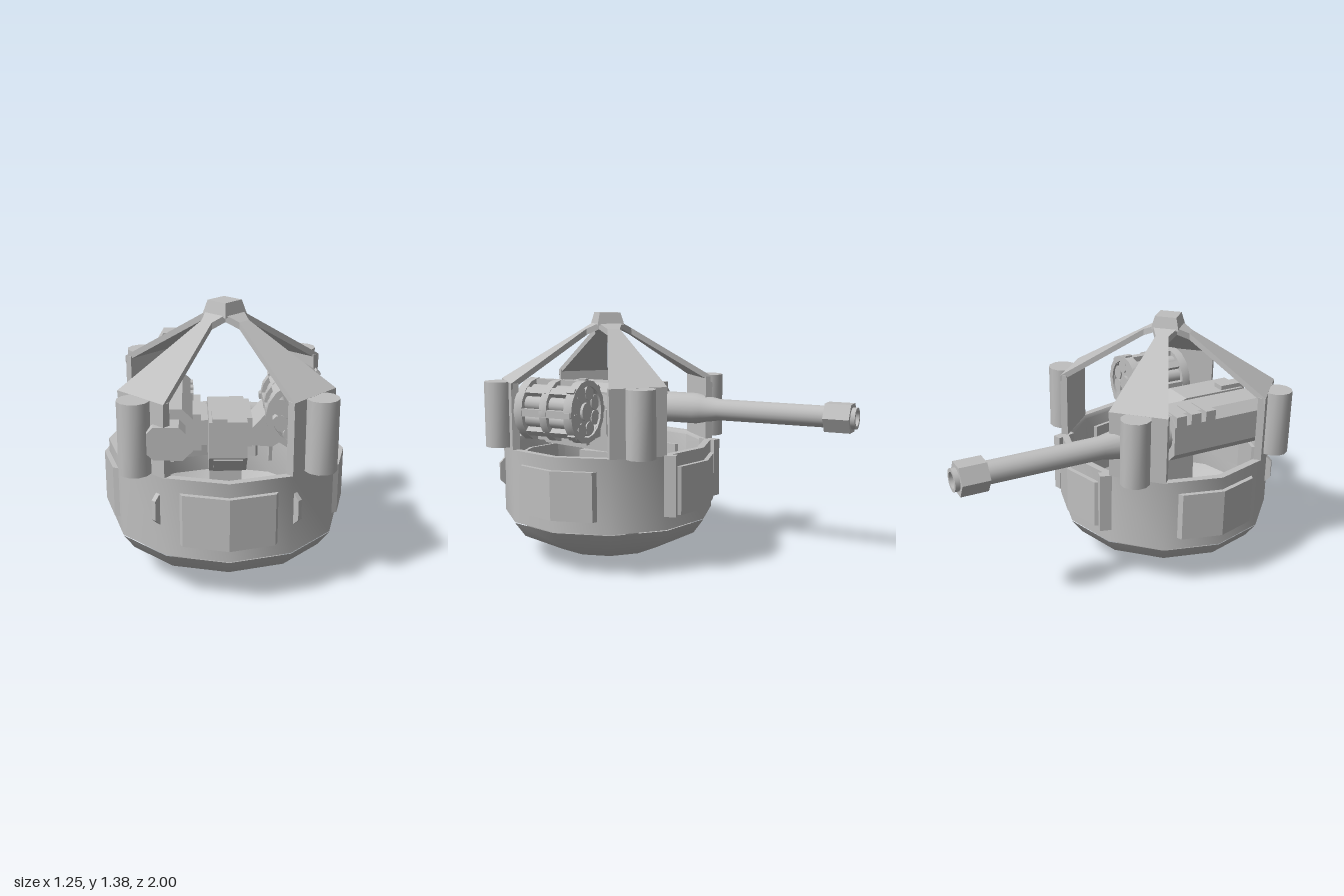
import * as THREE from 'three';
import { toCreasedNormals } from 'three/addons/utils/BufferGeometryUtils.js';

const armour = new THREE.MeshStandardMaterial({ color: 0xbfbfbf });
armour.name = 'armour grey';

const crease = (geo, deg = 35) => toCreasedNormals(geo, THREE.MathUtils.degToRad(deg));
const vec = (p) => new THREE.Vector2(p[0], p[1]);

function add(parent, name, geo, x = 0, y = 0, z = 0) {
  const mesh = new THREE.Mesh(geo, armour);
  mesh.name = name;
  mesh.position.set(x, y, z);
  parent.add(mesh);
  return mesh;
}

const box = (parent, name, size, pos) => add(parent, name, new THREE.BoxGeometry(...size), ...pos);
const lathe = (pts, sides) => new THREE.LatheGeometry(pts.map(vec), sides);
const prism = (pts, depth) => new THREE.ExtrudeGeometry(new THREE.Shape(pts.map(vec)), { depth, bevelEnabled: false });

// rectangle with cut corners, for block ends
function cutRect(w, h, c) {
  const a = w / 2, b = h / 2;
  return [[a - c, -b], [a, -b + c], [a, b - c], [a - c, b], [-a + c, b], [-a, b - c], [-a, -b + c], [-a + c, -b]];
}

// bent plate that wraps one corner of the twelve-sided tub
function wrapPlate(outer, inner, outerHalf, innerHalf, height) {
  const k = Math.tan(Math.PI / 12);
  const pts = [[-outerHalf, outer - k * outerHalf], [-innerHalf, inner - k * innerHalf], [0, inner],
    [innerHalf, inner - k * innerHalf], [outerHalf, outer - k * outerHalf], [0, outer]];
  return prism(pts, height).rotateX(-Math.PI / 2);
}

// roof strut: a box whose three rings follow [radius, height, half width]
function strutGeometry() {
  const rings = [[0.06, 1.325, 0.07], [0.13, 1.29, 0.035], [0.58, 1.01, 0.158]];
  const geo = new THREE.BoxGeometry(1, 1, 1, 1, 1, 2).toNonIndexed();
  const p = geo.attributes.position;
  for (let i = 0; i < p.count; i++) {
    const [r, y, half] = rings[Math.round(p.getZ(i) * 2) + 1];
    p.setXYZ(i, p.getX(i) * 2 * half, y + (p.getY(i) - 0.5) * 0.035, r);
  }
  geo.computeVertexNormals();
  return geo;
}

function buildTub() {
  const tub = new THREE.Group();
  tub.name = 'tub';
  add(tub, 'bowl', crease(lathe([[0, 0], [0.31, 0.045], [0.54, 0.16], [0.6, 0.243]], 12)));
  add(tub, 'wall', crease(lathe([[0.58, 0.245], [0.6, 0.247], [0.6, 0.65], [0.56, 0.65], [0.55, 0.63],
    [0.55, 0.24], [0.5, 0.18], [0.3, 0.08], [0, 0.04]], 12)));
  for (let i = 0; i < 4; i++) {
    const side = new THREE.Group();
    side.name = 'tubSide';
    side.rotation.y = i * Math.PI / 2;
    add(side, 'outerPlate', wrapPlate(0.625, 0.59, 0.22, 0.237, 0.265), 0, 0.315, 0);
    add(side, 'innerPlate', wrapPlate(0.56, 0.53, 0.22, 0.2, 0.22), 0, 0.34, 0);
    tub.add(side);
  }
  for (const s of [-1, 1]) {
    // hand grip on the front diagonal face
    const grip = prism([[0, -0.08], [0.03, -0.05], [0.03, 0.05], [0, 0.08]], 0.025);
    const g = add(tub, 'grip', grip, s * 0.325, 0.478, 0.495);
    g.rotation.y = -Math.PI / 2 + s * Math.PI / 4;
    // rear fin
    const fin = box(tub, 'rearFin', [0.05, 0.33, 0.11], [s * 0.285, 0.485, -0.51]);
    fin.rotation.y = s * Math.PI / 12;
  }
  return tub;
}

function buildFrame() {
  const frame = new THREE.Group();
  frame.name = 'roofFrame';
  const strut = strutGeometry();
  for (let i = 0; i < 4; i++) {
    const corner = new THREE.Group();
    corner.name = 'framePost';
    corner.rotation.y = Math.PI / 4 + i * Math.PI / 2;
    add(corner, 'strut', strut);
    box(corner, 'postPlate', [0.31, 0.365, 0.04], [0, 0.828, 0.56]);
    box(corner, 'postWeb', [0.11, 0.36, 0.06], [0, 0.83, 0.595]);
    add(corner, 'postTube', crease(new THREE.CylinderGeometry(0.08, 0.08, 0.36, 12)), 0, 0.83, 0.622);
    frame.add(corner);
  }
  add(frame, 'cap', crease(new THREE.CylinderGeometry(0.085, 0.11, 0.07, 4)), 0, 1.343, 0);
  return frame;
}

function buildGun() {
  const gun = new THREE.Group();
  gun.name = 'gun';
  gun.position.set(-0.29, 0.82, 0);
  add(gun, 'receiver', prism(cutRect(0.25, 0.26, 0.05), 0.6), 0, 0, 0.18);
  add(gun, 'receiverEnd', prism(cutRect(0.18, 0.16, 0.03), 0.12), 0, 0, 0.77);
  for (let i = 0; i < 3; i++) {
    box(gun, 'coolingRib', [0.15, 0.06, 0.06], [-0.05, 0.105, 0.22 + i * 0.09]);
    box(gun, 'sideRib', [0.03, 0.1, 0.05], [0.115, 0.04, 0.22 + i * 0.09]);
  }
  // barrel with a bored end, running backwards
  add(gun, 'barrel', crease(lathe([[0, -0.2], [0.09, -0.2], [0.09, 0.05], [0.08, 0.1], [0.062, 0.2], [0.06, 1],
    [0.042, 1], [0.042, 0.88], [0, 0.88]], 20).rotateX(-Math.PI / 2)), -0.01);
  const muzzle = lathe([[0.055, 0.83], [0.09, 0.83], [0.09, 0.975], [0.055, 0.975]], 6);
  add(gun, 'muzzle', crease(muzzle.rotateY(Math.PI / 6).rotateX(-Math.PI / 2)), -0.01);
  return gun;
}

function buildDrum() {
  const drum = new THREE.Group();
  drum.name = 'launcherDrum';
  drum.position.set(0.36, 0.86, 0.47);
  const ring = (w, r) => crease(lathe([[0.14, -w], [r, -w], [r, w], [0.14, w], [0.14, -w]], 16).rotateX(Math.PI / 2));
  add(drum, 'frontRing', ring(0.025, 0.172), 0, 0, 0.155);
  add(drum, 'middleRing', ring(0.022, 0.17), 0, 0, 0);
  add(drum, 'rearRing', ring(0.025, 0.172), 0, 0, -0.155);
  add(drum, 'core', crease(new THREE.CylinderGeometry(0.09, 0.09, 0.32, 16).rotateX(Math.PI / 2)));
  add(drum, 'hub', crease(new THREE.CylinderGeometry(0.05, 0.05, 0.35, 12).rotateX(Math.PI / 2)));
  for (let i = 0; i < 8; i++) {
    const spoke = new THREE.Group();
    spoke.name = 'drumSegment';
    spoke.rotation.z = i * Math.PI / 4;
    box(spoke, 'bar', [0.03, 0.04, 0.34], [0.152, 0, 0]);
    box(spoke, 'tab', [0.012, 0.03, 0.045], [0.174, 0, -0.155]);
    const a = Math.PI / 8;
    add(spoke, 'launchTube', crease(new THREE.CylinderGeometry(0.042, 0.042, 0.335, 12).rotateX(Math.PI / 2)),
      0.107 * Math.cos(a), 0.107 * Math.sin(a), 0);
    drum.add(spoke);
  }
  return drum;
}

function buildConsole() {
  const con = new THREE.Group();
  con.name = 'console';
  // side profile in z and y, extruded across x
  const across = (pts, w) => prism(pts.map(([z, y]) => [-z, y]), w).rotateY(Math.PI / 2).translate(-w / 2, 0, 0);
  add(con, 'consoleBody', across([[0.83, 0.9], [0.83, 0.72], [0.74, 0.62], [0.08, 0.58], [0.08, 0.63], [0.3, 0.84], [0.45, 0.9]], 0.18));
  add(con, 'rearHatch', across([[0.24, 0.8], [0.09, 0.655], [0.11, 0.635], [0.26, 0.78]], 0.11));
  add(con, 'frontHatch', across([[0.825, 0.705], [0.755, 0.625], [0.75, 0.645], [0.82, 0.72]], 0.14));
  box(con, 'sight', [0.07, 0.145, 0.03], [-0.04, 0.852, 0.84]);
  box(con, 'sightTop', [0.07, 0.03, 0.16], [-0.04, 0.91, 0.775]);
  box(con, 'pedestal', [0.16, 0.52, 0.3], [0, 0.33, 0.37]);
  // arms to the gun and the drum
  box(con, 'gunArm', [0.1, 0.13, 0.25], [-0.13, 0.765, 0.48]);
  box(con, 'gunBracket', [0.045, 0.19, 0.3], [-0.147, 0.775, 0.48]);
  box(con, 'drumBracket', [0.04, 0.15, 0.3], [0.107, 0.765, 0.46]);
  add(con, 'drumArm', prism([[0.12, 0.69], [0.23, 0.68], [0.29, 0.72], [0.24, 0.88], [0.2, 0.86], [0.12, 0.77]], 0.24), 0, 0, 0.35);
  return con;
}

export function createModel() {
  const model = new THREE.Group();
  model.name = 'gunTurret';
  const hull = new THREE.Group();
  hull.name = 'hull';
  hull.position.z = 0.37;
  hull.add(buildTub(), buildFrame());
  model.add(hull, buildGun(), buildDrum(), buildConsole());
  return model;
}
